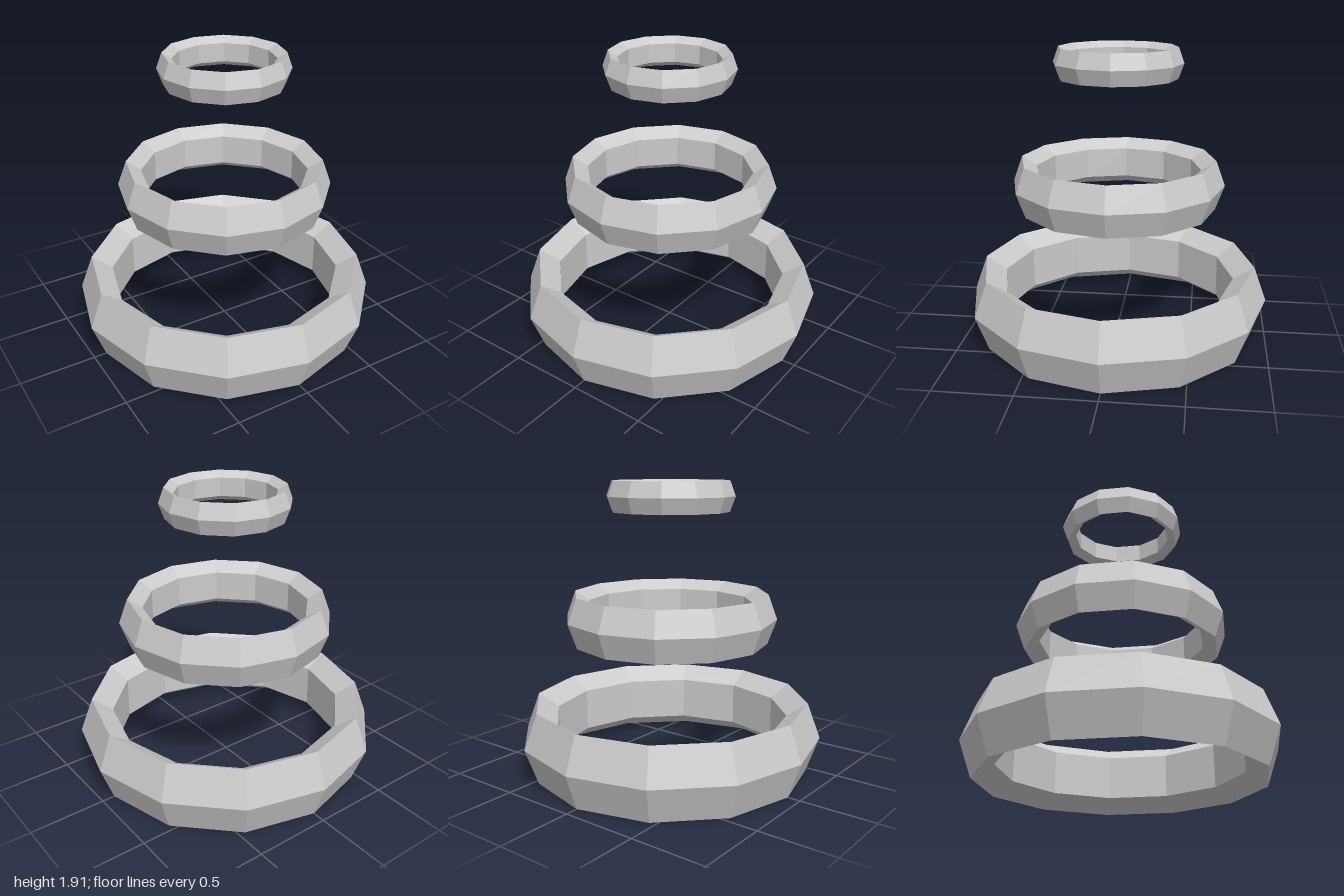
import * as THREE from 'three';

const material = new THREE.MeshStandardMaterial({ color: 0xcccccc, flatShading: true });

// Low-poly ring: 12 segments round, five-sided section stretched to double height
function makeRing(name, radius, tube, y) {
  const geometry = new THREE.TorusGeometry(radius, tube, 5, 12);
  geometry.rotateX(-Math.PI / 2);
  geometry.scale(1, 2, 1);
  const ring = new THREE.Mesh(geometry, material);
  ring.name = name;
  ring.position.y = y;
  return ring;
}

export function createModel() {
  const model = new THREE.Group();
  model.name = 'floatingRings';

  // Three separate rings, shrinking towards the top
  model.add(
    makeRing('lowerRing', 0.877, 0.123, 0.234),
    makeRing('middleRing', 0.613, 0.086, 1.027),
    makeRing('upperRing', 0.366, 0.052, 1.815)
  );
  return model;
}
